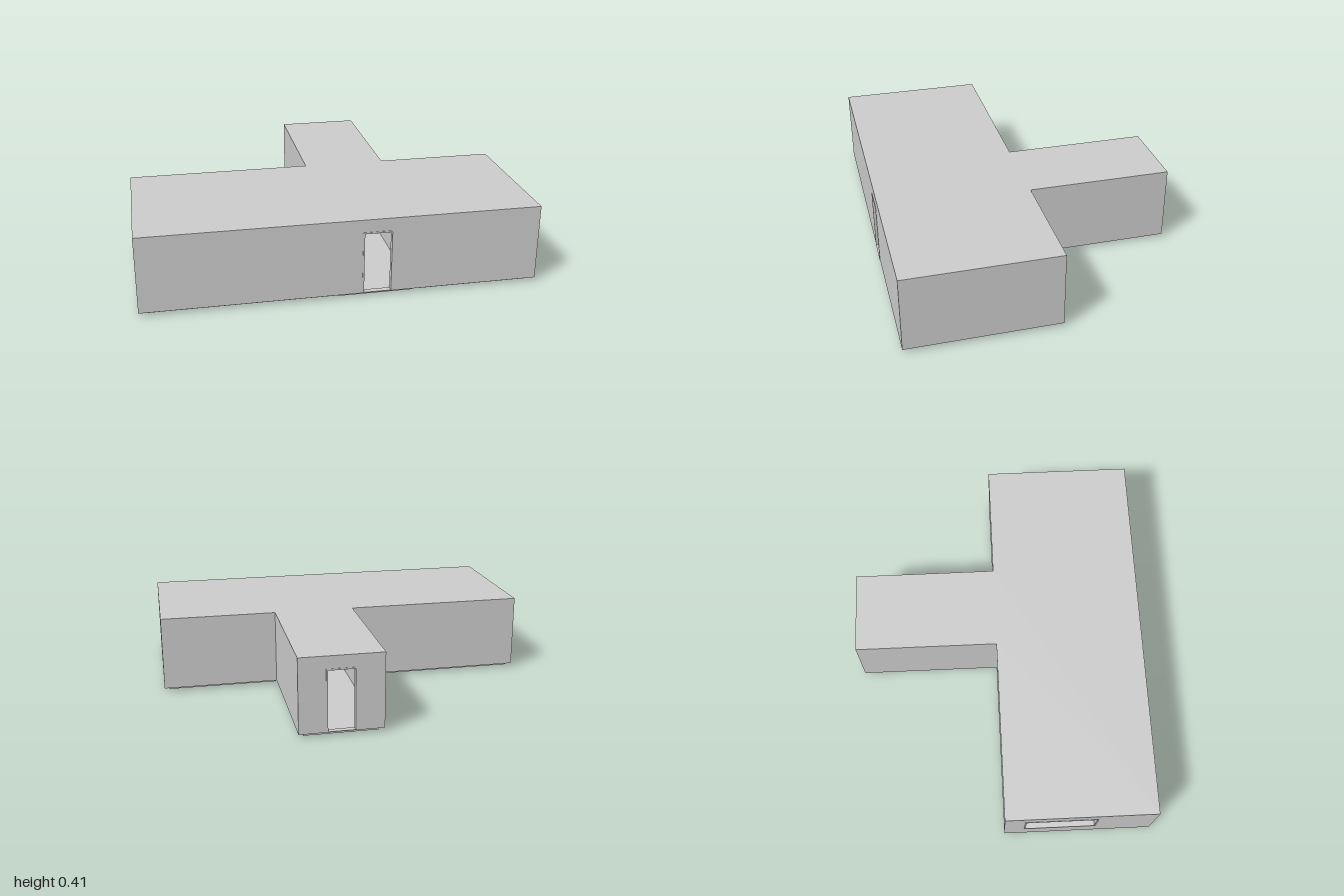
import * as THREE from 'three';

const T = 0.026;                    // wall thickness
const BASE = 0.018, CEIL = 0.397, TOP = 0.412;
const Z = 0.773, WING = -0.014;     // front/back ends, rear of the wings
const HALL = [-0.046, 0.385];       // outer faces of the corridor
const mat = new THREE.MeshStandardMaterial({ color: 0xcccccc });

const rectPath = (P, a, b, c, d) => new P([
  new THREE.Vector2(a, b), new THREE.Vector2(c, b), new THREE.Vector2(c, d), new THREE.Vector2(a, d),
]);

function extrude(shape, depth) {
  return new THREE.ExtrudeGeometry(shape, { depth, bevelEnabled: false });
}

export function createModel() {
  const model = new THREE.Group();

  function add(name, geometry) {
    const mesh = new THREE.Mesh(geometry, mat);
    mesh.name = name;
    model.add(mesh);
    return mesh;
  }

  // Plate running along 'x' or 'z' from u0 to u1, starting at "at" on the other axis
  function plate(name, axis, at, depth, shape) {
    const mesh = add(name, extrude(shape, depth));
    if (axis === 'x') mesh.position.z = at;
    else {
      mesh.rotation.y = -Math.PI / 2;
      mesh.position.x = at + depth;
    }
  }

  // Wall with an optional opening [u0, y0, u1, y1] lined by a thin frame
  function wall(name, axis, u0, u1, at, hole) {
    const shape = rectPath(THREE.Shape, u0, BASE, u1, CEIL);
    if (hole) {
      const [a, b, c, d] = hole, f = 0.008;
      shape.holes.push(rectPath(THREE.Path, a, b, c, d));
      const isDoor = b <= BASE + 0.01;
      const frame = rectPath(THREE.Shape, a, b, c, d);
      frame.holes.push(rectPath(THREE.Path, a + f, b + (isDoor ? 0.002 : f), c - f, d - f));
      plate(name + 'Frame', axis, at - 0.002, T + 0.004, frame);
    }
    plate(name, axis, at, T, shape);
  }

  function slab(name, x0, x1, z0, z1, y0) {
    add(name, new THREE.BoxGeometry(x1 - x0, BASE - y0, z1 - z0))
      .position.set((x0 + x1) / 2, (BASE + y0) / 2, (z0 + z1) / 2);
  }

  const [hx0, hx1] = HALL;
  const door = [0.094, BASE + 0.002, 0.247, 0.346];
  const innerDoor = [0.54, BASE + 0.002, 0.69, 0.346];

  // Outer walls
  wall('frontWall', 'x', -1, 1, Z - T, door);
  wall('corridorEndWall', 'x', hx0, hx1, -Z, door);
  wall('rightEndWall', 'z', WING, Z - T, -1, [0.09, 0.147, 0.47, 0.335]);
  wall('leftEndWall', 'z', WING, Z - T, 1 - T);
  wall('rightWingBackWall', 'x', -1 + T, hx0, WING);
  wall('leftWingBackWall', 'x', hx1, 1 - T, WING);

  // Corridor walls, continuing between the rooms
  wall('corridorRightWall', 'z', -Z + T, Z - T, hx0, innerDoor);
  wall('corridorLeftWall', 'z', -Z + T, Z - T, hx1 - T, innerDoor);

  // Floor slabs, inset within the walls
  slab('corridorFloor', hx0 + T, hx1 - T, -Z + T, Z - T, 0);
  slab('rightRoomFloor', -1 + T, hx0, WING + T, Z - T, 0.003);
  slab('leftRoomFloor', hx1, 1 - T, WING + T, Z - T, 0.003);

  // T-shaped flat roof (shape y is -z)
  const roof = new THREE.Shape([
    [-1, -Z], [1, -Z], [1, -WING], [hx1, -WING], [hx1, Z], [hx0, Z], [hx0, -WING], [-1, -WING],
  ].map(([x, y]) => new THREE.Vector2(x, y)));
  const roofMesh = add('roof', extrude(roof, TOP - CEIL));
  roofMesh.rotation.x = -Math.PI / 2;
  roofMesh.position.y = CEIL;

  return model;
}
